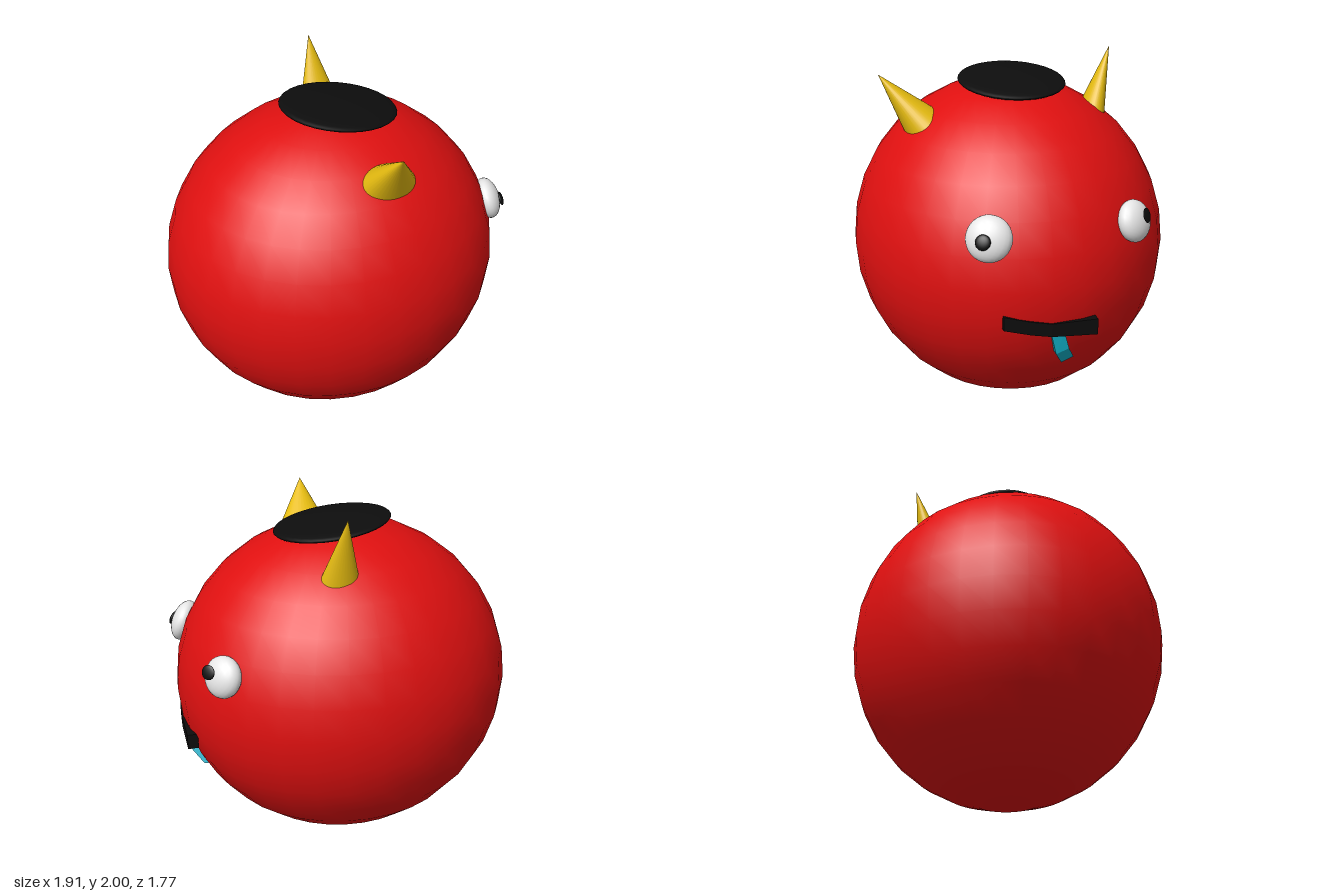
import * as THREE from 'three';

const mat = (name, color) => {
  const m = new THREE.MeshStandardMaterial({ color });
  m.name = name;
  return m;
};

const V = (x, y, z) => new THREE.Vector3(x, y, z);

// Closed solid through four-cornered cross-sections, with flat faces
function loft(rings) {
  const pos = [];
  const quad = (a, b, c, d) => [a, b, c, a, c, d].forEach(p => pos.push(...p));
  for (let i = 0; i < rings.length - 1; i++) {
    const r = rings[i], s = rings[i + 1];
    for (let j = 0; j < 4; j++) {
      const k = (j + 1) % 4;
      quad(r[j], r[k], s[k], s[j]);
    }
  }
  const first = rings[0], last = rings[rings.length - 1];
  quad(first[3], first[2], first[1], first[0]);
  quad(...last);
  const g = new THREE.BufferGeometry();
  g.setAttribute('position', new THREE.Float32BufferAttribute(pos, 3));
  g.computeVertexNormals();
  return g;
}

export function createModel() {
  const red = mat('red skin', 0xe01010);
  const black = mat('black', 0x0d0d0d);
  const yellow = mat('yellow horn', 0xe6bc10);
  const white = mat('eye white', 0xe7e7e7);
  const cyan = mat('cyan tongue', 0x12b2ca);

  const model = new THREE.Group();
  model.name = 'hornedBall';
  const add = (name, geometry, material) => {
    const mesh = new THREE.Mesh(geometry, material);
    mesh.name = name;
    model.add(mesh);
    return mesh;
  };

  // Ball body
  const body = add('body', new THREE.SphereGeometry(1, 32, 16), red);
  body.scale.set(0.957, 0.917, 0.885);
  body.position.y = 0.92;

  // Tilted flat cap on the crown
  const cap = add('cap', new THREE.SphereGeometry(1, 32, 16), black);
  cap.scale.set(0.33, 0.034, 0.298);
  cap.position.set(0.053, 1.823, -0.012);
  cap.rotation.z = -0.13;

  // Horns: cones wider across x, with buried bases
  const horn = (name, tip, base, rx, rz) => {
    const axis = tip.clone().sub(base);
    const length = axis.length();
    axis.normalize();
    const side = V(1, 0, 0).addScaledVector(axis, -axis.x).normalize();
    const m = new THREE.Matrix4().makeBasis(side, axis, side.clone().cross(axis));
    const h = add(name, new THREE.ConeGeometry(1, 1, 32), yellow);
    h.scale.set(rx, length, rz);
    h.quaternion.setFromRotationMatrix(m);
    h.position.copy(tip).add(base).multiplyScalar(0.5);
  };
  horn('frontHorn', V(0.06, 1.887, 0.727), V(0.09, 1.608, 0.496), 0.168, 0.113);
  horn('backHorn', V(0.115, 2, -0.557), V(0.131, 1.615, -0.448), 0.115, 0.078);

  // Eyes and pupils: flattened balls facing outwards
  const lens = (name, centre, normal, radius, depth, material) => {
    const e = add(name, new THREE.SphereGeometry(1, 24, 16), material);
    e.scale.set(radius, radius, depth);
    e.quaternion.setFromUnitVectors(V(0, 0, 1), normal.normalize());
    e.position.copy(centre);
  };
  lens('frontEye', V(0.86, 1.2, 0.31), V(0.87, 0.32, 0.375), 0.12, 0.07, white);
  lens('frontPupil', V(0.922, 1.206, 0.355), V(0.82, 0.38, 0.43), 0.04, 0.014, black);
  lens('backEye', V(0.765, 1.193, -0.49), V(0.76, 0.3, -0.57), 0.113, 0.07, white);
  lens('backPupil', V(0.845, 1.246, -0.527), V(0.66, 0.3, -0.69), 0.039, 0.009, black);

  // Bent mouth bar: z, top, bottom, outer x
  add('mouth', loft([
    [0.25, 0.793, 0.718, 0.92],
    [0.11, 0.76, 0.687, 0.94],
    [0, 0.74, 0.668, 0.947],
    [-0.245, 0.742, 0.655, 0.947],
  ].map(([z, t, b, x]) => [[x, b, z], [x - 0.06, b, z], [x - 0.06, t, z], [x, t, z]])), black);

  // Tongue hanging from the mouth: outer x, then the y and z of both edges
  add('tongue', loft([
    [0.93, 0.68, 0.002, 0.68, -0.07],
    [0.917, 0.552, -0.03, 0.578, -0.1],
    [0.85, 0.465, -0.08, 0.492, -0.147],
  ].map(([x, y0, z0, y1, z1]) => [
    [x, y1, z1], [x, y0, z0], [x - 0.07, y0, z0], [x - 0.07, y1, z1],
  ])), cyan);

  return model;
}
